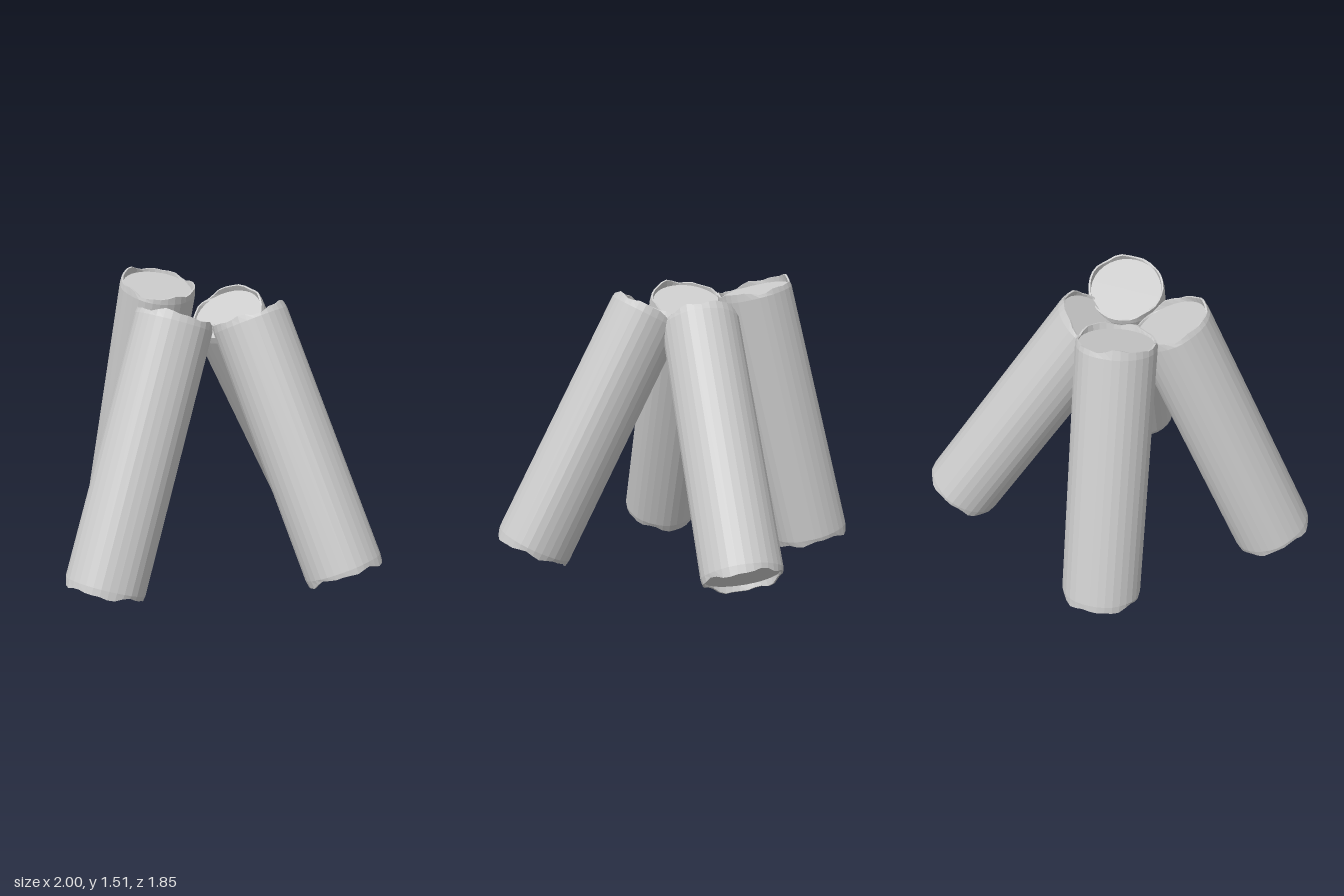
import * as THREE from 'three';

const SIDES = 32;

// Uneven offset of a broken rim at angle a, periodic so the seam stays closed
function ragged(a, seed) {
  return 0.009 * Math.sin(2 * a + seed)
    + 0.007 * Math.sin(5 * a + seed * 2.3)
    + 0.005 * Math.sin(9 * a + seed * 4.1);
}

// One log: bark cylinder with ragged bark rims around slightly sunken end faces
function createLog(name, bottom, top, rBottom, rTop, seed, material) {
  const a = new THREE.Vector3(...bottom);
  const b = new THREE.Vector3(...top);
  const h = a.distanceTo(b) / 2;
  const profile = [
    [0, -h + 0.02], [rBottom - 0.017, -h + 0.02], // lower end face
    [rBottom - 0.014, -h], [rBottom - 0.005, -h], [rBottom, -h + 0.03], // lower rim
    [rTop, h - 0.03], [rTop - 0.005, h], [rTop - 0.014, h], // upper rim
    [rTop - 0.017, h - 0.02], [0, h - 0.02], // upper end face
  ].map(([x, y]) => new THREE.Vector2(x, y));
  const geometry = new THREE.LatheGeometry(profile, SIDES);

  // Roughen only the rim vertices; the bark gets a faint waviness
  const p = geometry.attributes.position;
  for (let i = 0; i < p.count; i++) {
    const ring = i % profile.length;
    const angle = Math.floor(i / profile.length) % SIDES / SIDES * Math.PI * 2;
    if (ring === 2 || ring === 3) p.setY(i, p.getY(i) + ragged(angle, seed));
    if (ring === 6 || ring === 7) p.setY(i, p.getY(i) + ragged(angle, seed + 2));
    if (ring >= 2 && ring <= 7) {
      const s = 1 + 0.008 * Math.sin(4 * angle + seed) + 0.006 * Math.sin(7 * angle + seed * 3);
      p.setX(i, p.getX(i) * s);
      p.setZ(i, p.getZ(i) * s);
    }
  }
  geometry.computeVertexNormals();

  const log = new THREE.Mesh(geometry, material);
  log.name = name;
  log.position.addVectors(a, b).multiplyScalar(0.5);
  log.quaternion.setFromUnitVectors(new THREE.Vector3(0, 1, 0), b.clone().sub(a).normalize());
  return log;
}

export function createModel() {
  const group = new THREE.Group();
  group.name = 'stackedLogs';
  const material = new THREE.MeshStandardMaterial({ color: 0xcccccc, flatShading: true });

  // Name, bottom centre, top centre, radii, seed
  const logs = [
    ['rightLog', [-0.82, 0.10, -0.14], [-0.25, 1.37, -0.135], 0.202, 0.197, 1],
    ['leftLog', [0.835, 0.185, -0.09], [0.11, 1.32, -0.09], 0.196, 0.192, 2.4],
    ['frontLog', [-0.03, 0.16, 0.75], [-0.01, 1.37, 0.135], 0.196, 0.191, 3.9],
    ['backLog', [0.01, 0.13, -0.74], [-0.033, 1.45, -0.42], 0.195, 0.193, 5.2],
  ];
  for (const spec of logs) group.add(createLog(...spec, material));
  return group;
}
